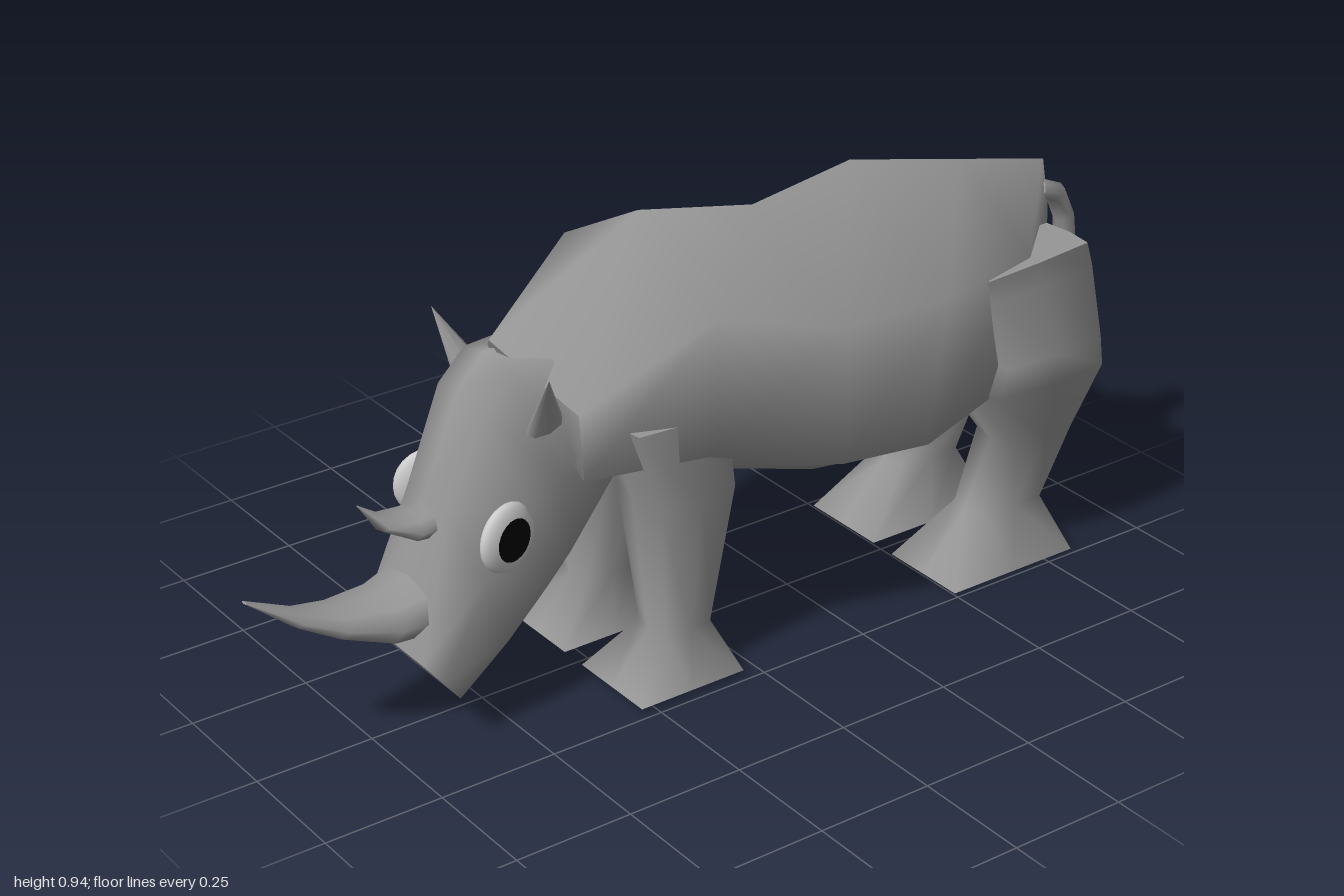
import * as THREE from 'three';

const grey = new THREE.MeshStandardMaterial({ color: 0x969696, side: THREE.DoubleSide });
const light = new THREE.MeshStandardMaterial({ color: 0xdddddd });
const black = new THREE.MeshStandardMaterial({ color: 0x000000 });

// Skin a list of rings (arrays of [x, y, z]) and close both ends with flat caps
function loft(rings) {
  const n = rings[0].length, pos = rings.flat(2), idx = [];
  for (let r = 0; r < rings.length - 1; r++) {
    for (let i = 0; i < n; i++) {
      const a = r * n + i, b = r * n + (i + 1) % n;
      idx.push(a, b, a + n, b, b + n, a + n);
    }
  }
  [rings[0], rings[rings.length - 1]].forEach((ring, end) => {
    const base = pos.length / 3;
    pos.push(...ring.flat());
    for (let i = 1; i < n - 1; i++) {
      if (end) idx.push(base, base + i, base + i + 1);
      else idx.push(base, base + i + 1, base + i);
    }
  });
  // Turn the skin outward if its enclosed volume comes out negative
  const at = i => new THREE.Vector3().fromArray(pos, i * 3);
  let volume = 0;
  for (let t = 0; t < idx.length; t += 3) {
    volume += at(idx[t]).dot(at(idx[t + 1]).cross(at(idx[t + 2])));
  }
  if (volume < 0) idx.reverse();
  const g = new THREE.BufferGeometry();
  g.setAttribute('position', new THREE.Float32BufferAttribute(pos, 3));
  g.setIndex(idx);
  g.computeVertexNormals();
  return g;
}

// Half outline from top to bottom, mirrored across z = 0 into a full ring
const mirrored = half => [
  ...half,
  ...half.slice().reverse().filter(p => p[2] > 0).map(([x, y, z]) => [x, y, -z]),
];

// Horizontal leg ring: y, x range, z range, corner fullness, slant of z along x
function legRing([y, x0, x1, z0, z1, corner, slant = 0]) {
  return Array.from({ length: 8 }, (_, i) => {
    const a = i * Math.PI / 4, k = i % 2 ? corner * Math.SQRT2 : 1;
    const dx = (x1 - x0) / 2 * Math.cos(a) * k;
    return [(x0 + x1) / 2 + dx, y,
      (z0 + z1) / 2 + (z1 - z0) / 2 * Math.sin(a) * k + slant * dx];
  });
}

// Round sweep along a path in the xy plane: [x, y, z, radius, depth radius]
function sweep(path, n) {
  return loft(path.map(([x, y, z, r, rz], i) => {
    const p = path[Math.max(i - 1, 0)], q = path[Math.min(i + 1, path.length - 1)];
    const len = Math.hypot(q[0] - p[0], q[1] - p[1]);
    const nx = -(q[1] - p[1]) / len, ny = (q[0] - p[0]) / len;
    return Array.from({ length: n }, (_, k) => {
      const a = k / n * Math.PI * 2, c = Math.cos(a) * r;
      return [x + nx * c, y + ny * c, z + Math.sin(a) * rz];
    });
  }));
}

export function createModel() {
  const model = new THREE.Group();
  const add = (name, geometry, material = grey, parent = model) => {
    const mesh = new THREE.Mesh(geometry, material);
    mesh.name = name;
    parent.add(mesh);
    return mesh;
  };

  // Body: ridge, upper flank, lower flank and belly at each station
  add('body', loft([
    [[-0.46, 0.76, 0], [-0.37, 0.64, 0.16], [-0.36, 0.5, 0.16], [-0.25, 0.41, 0]],
    [[-0.12, 0.935, 0], [-0.12, 0.8, 0.25], [-0.12, 0.52, 0.25], [-0.04, 0.36, 0]],
    [[0.15, 0.878, 0], [0.16, 0.72, 0.285], [0.16, 0.43, 0.285], [0.14, 0.305, 0]],
    [[0.39, 0.913, 0], [0.41, 0.715, 0.29], [0.37, 0.41, 0.29], [0.31, 0.25, 0]],
    [[0.68, 0.844, 0], [0.68, 0.705, 0.22], [0.68, 0.45, 0.22], [0.58, 0.4, 0]],
    [[0.905, 0.79, 0], [0.905, 0.7, 0.02], [0.905, 0.45, 0.035], [0.905, 0.42, 0]],
  ].map(mirrored)));

  // Head: brow centre, brow edge, cheek, jaw edge and chin centre
  const headStations = [
    [-0.38, 0.74, -0.22, 0.45, 0.08, 0.15, 0.08],
    [-0.47, 0.74, -0.35, 0.31, 0.08, 0.15, 0.1],
    [-0.53, 0.68, -0.41, 0.26, 0.08, 0.14, 0.11],
    [-0.61, 0.49, -0.51, 0.18, 0.07, 0.125, 0.12],
    [-0.7, 0.2, -0.62, 0.1, 0.11, 0.12, 0.12],
  ];
  add('head', loft(headStations.map(([tx, ty, bx, by, wt, wm, wb]) => {
    const at = (t, z) => [tx + (bx - tx) * t, ty + (by - ty) * t, z];
    return mirrored([at(0, 0), at(0.05, wt), at(0.5, wm), at(0.97, wb), at(1, 0)]);
  })));

  // Horns
  add('frontHorn', sweep([
    [-0.64, 0.275, 0, 0.06, 0.105], [-0.72, 0.265, 0, 0.05, 0.085],
    [-0.82, 0.287, 0, 0.03, 0.06], [-0.9, 0.32, 0, 0.017, 0.035], [-1, 0.385, 0, 0.002, 0.008],
  ], 8));
  add('rearHorn', sweep([
    [-0.58, 0.435, 0, 0.035, 0.055], [-0.65, 0.435, 0, 0.027, 0.055],
    [-0.71, 0.458, 0, 0.015, 0.035], [-0.755, 0.505, 0, 0.001, 0.004],
  ], 8));

  // Tail
  add('tail', sweep([
    [0.88, 0.735, 0.015, 0.022, 0.024], [0.93, 0.715, 0.014, 0.022, 0.024],
    [0.96, 0.655, 0.011, 0.022, 0.024], [0.976, 0.56, 0.007, 0.021, 0.026],
    [0.976, 0.445, 0.002, 0.021, 0.032],
  ], 8));

  // Legs, ears and eyes, mirrored across z = 0
  const frontLeg = [
    [0.59, -0.285, -0.06, 0.06, 0.225, 0.9], [0.42, -0.24, -0.035, 0.055, 0.23, 0.85],
    [0.115, -0.2, -0.07, 0.08, 0.19, 0.82], [0.012, -0.285, -0.04, 0.03, 0.235, 1],
  ];
  const rearLeg = [
    [0.705, 0.53, 0.83, 0.12, 0.25, 0.95, -0.1], [0.65, 0.54, 0.855, 0.08, 0.25, 0.92, -0.1],
    [0.5, 0.58, 0.865, 0.055, 0.275, 0.9, -0.05], [0.44, 0.55, 0.865, 0.05, 0.28, 0.9],
    [0.27, 0.67, 0.855, 0.07, 0.205, 0.85], [0.12, 0.61, 0.79, 0.08, 0.19, 0.85],
    [0, 0.505, 0.825, 0.03, 0.235, 1],
  ];
  const up = new THREE.Vector3(0, 1, 0);
  for (const [side, s] of [['left', 1], ['right', -1]]) {
    for (const [name, rings] of [['FrontLeg', frontLeg], ['RearLeg', rearLeg]]) {
      add(side + name, loft(rings.map(r => legRing(r).map(([x, y, z]) => [x, y, z * s]))));
    }

    const base = new THREE.Vector3(-0.42, 0.62, 0.12 * s);
    const tip = new THREE.Vector3(-0.46, 0.755, 0.2 * s);
    const ear = add(side + 'Ear', new THREE.ConeGeometry(0.04, base.distanceTo(tip), 8));
    ear.position.copy(base).lerp(tip, 0.5);
    ear.quaternion.setFromUnitVectors(up, tip.clone().sub(base).normalize());
    ear.scale.z = 0.5;

    // Flattened eyeball with a raised pupil
    const eye = new THREE.Group();
    eye.name = side + 'Eye';
    const ball = add('eyeball', new THREE.SphereGeometry(0.07, 24, 12), light, eye);
    ball.scale.z = 0.35;
    const pupil = add('pupil', new THREE.SphereGeometry(0.044, 24, 12), black, eye);
    pupil.scale.z = 0.3;
    pupil.position.z = 0.017 * s;
    eye.position.set(-0.52, 0.425, 0.138 * s);
    eye.rotation.y = 0.25 * s;
    model.add(eye);
  }
  return model;
}
